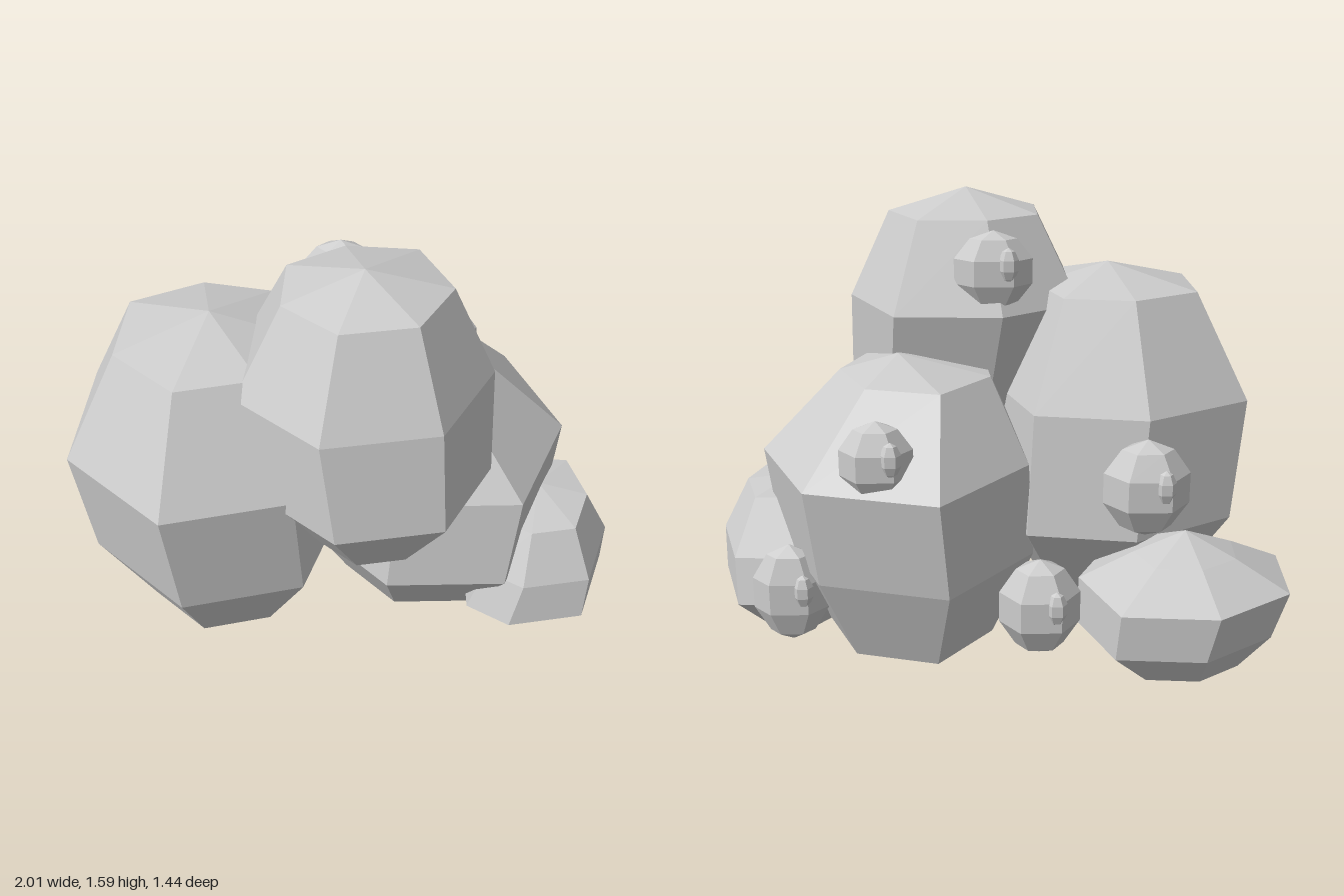
import * as THREE from 'three';

const stone = new THREE.MeshStandardMaterial({ color: 0xcccccc, flatShading: true });
stone.name = 'grey stone';

// Faceted rock: a plan outline of [x, z] points stacked between two tips.
// Each ring is [y, width, shift x, shift z], listed from the top down.
function rock(name, [cx, cz], y0, y1, outline, rings) {
  const plan = outline.map(([x, z]) => [x - cx, z - cz])
    .sort((a, b) => Math.atan2(a[1], a[0]) - Math.atan2(b[1], b[0]));
  const n = plan.length, pos = [0, y1, 0], index = [];
  for (const [y, w, dx = 0, dz = 0] of rings)
    for (const [x, z] of plan) pos.push(x * w + dx, y, z * w + dz);
  const [, , bx = 0, bz = 0] = rings[rings.length - 1];
  pos.push(bx, y0, bz);
  const last = 1 + n * rings.length;
  for (let i = 0; i < n; i++) {
    const j = (i + 1) % n;
    index.push(0, 1 + j, 1 + i);
    for (let r = 0; r < rings.length - 1; r++) {
      const a = 1 + r * n, b = a + n;
      index.push(b + i, a + i, b + j, b + j, a + i, a + j);
    }
    index.push(last, last - n + i, last - n + j);
  }
  const geo = new THREE.BufferGeometry();
  geo.setAttribute('position', new THREE.Float32BufferAttribute(pos, 3));
  geo.setIndex(index);
  const flat = geo.toNonIndexed();
  flat.computeVertexNormals();
  const mesh = new THREE.Mesh(flat, stone);
  mesh.name = name;
  mesh.position.set(cx, 0, cz);
  return mesh;
}

// Small oval stone with six sides
function ovalStone(name, x, y, z, rx, ry, rz) {
  const outline = Array.from({ length: 6 }, (_, i) => {
    const a = (i / 6) * Math.PI * 2;
    return [x + Math.cos(a) * rx, z + Math.sin(a) * rz];
  });
  const rings = [[0.8, 0.6], [0.31, 1], [-0.31, 1], [-0.8, 0.6]].map(([h, w]) => [y + h * ry, w]);
  return rock(name, [x, z], y - ry, y + ry, outline, rings);
}

export function createModel() {
  const group = new THREE.Group();
  group.name = 'boulderPile';

  // Boulders
  group.add(
    rock('topBoulder', [0.09, 0.28], 0.5, 1.59,
      [[-0.3, 0.1], [-0.02, -0.1], [0.35, -0.08], [0.52, 0.28], [0.35, 0.62], [-0.02, 0.7], [-0.3, 0.47]],
      [[1.51, 0.65, 0, -0.03], [1.2, 1.01, -0.01, -0.03], [0.85, 0.94, 0.03, 0.04], [0.54, 0.45, 0.04, 0.02]]),
    rock('tallBoulder', [-0.42, 0.15], 0, 1.34,
      [[-0.9, -0.12], [-0.52, -0.34], [-0.13, -0.27], [0, 0.15], [-0.12, 0.58], [-0.54, 0.7], [-0.9, 0.39]],
      [[1.26, 0.62], [0.89, 0.99], [0.46, 0.96, 0.03, -0.04], [0.14, 0.56, 0.01, -0.02]]),
    rock('backBoulder', [0.33, -0.1], 0, 1.07,
      [[0.17, -0.66], [0.63, -0.53], [0.82, -0.08], [0.64, 0.38], [0.2, 0.41], [-0.11, 0.1], [-0.14, -0.28]],
      [[1, 0.55, -0.06, 0.04], [0.72, 0.97, 0.01, -0.01], [0.37, 0.95, -0.02, 0.03], [0.06, 0.62, -0.03, -0.02]]),
    rock('sideBoulder', [0.73, 0.06], 0, 0.57,
      [[0.91, -0.28], [1.005, 0.05], [0.9, 0.37], [0.63, 0.43], [0.48, 0.34], [0.47, -0.08], [0.65, -0.3]],
      [[0.54, 0.58, 0.02, 0.03], [0.36, 0.88, 0.03, 0.01], [0.2, 0.99], [0.04, 0.58, -0.02, 0]]),
    rock('lowBoulder', [-0.64, -0.42], 0, 0.53,
      [[-1.007, -0.24], [-0.98, -0.55], [-0.71, -0.73], [-0.39, -0.7], [-0.28, -0.4], [-0.42, -0.12], [-0.75, -0.1]],
      [[0.45, 0.48], [0.35, 0.99], [0.19, 0.92, 0.03, -0.01], [0.05, 0.56]]),
  );

  // Small stones, each with a pebble on its outer side: x, y, z, rx, ry, rz, side
  const stones = [
    [-0.5, 0.69, -0.43, 0.145, 0.17, 0.11, -1],
    [-0.14, 0.32, -0.55, 0.135, 0.17, 0.11, -1],
    [0.39, 0.82, -0.51, 0.12, 0.14, 0.09, -1],
    [0.71, 0.28, -0.34, 0.13, 0.18, 0.08, -1],
    [0, 1.35, -0.07, 0.135, 0.14, 0.075, -1],
    [-0.75, 0.2, -0.06, 0.12, 0.15, 0.1, 1],
  ];
  stones.forEach(([x, y, z, rx, ry, rz, side], i) => {
    group.add(
      ovalStone(`smallStone${i + 1}`, x, y, z, rx, ry, rz),
      ovalStone(`pebble${i + 1}`, x - 0.05, y + 0.03, z + side * rz * 0.75, 0.035, 0.06, 0.03),
    );
  });
  return group;
}
